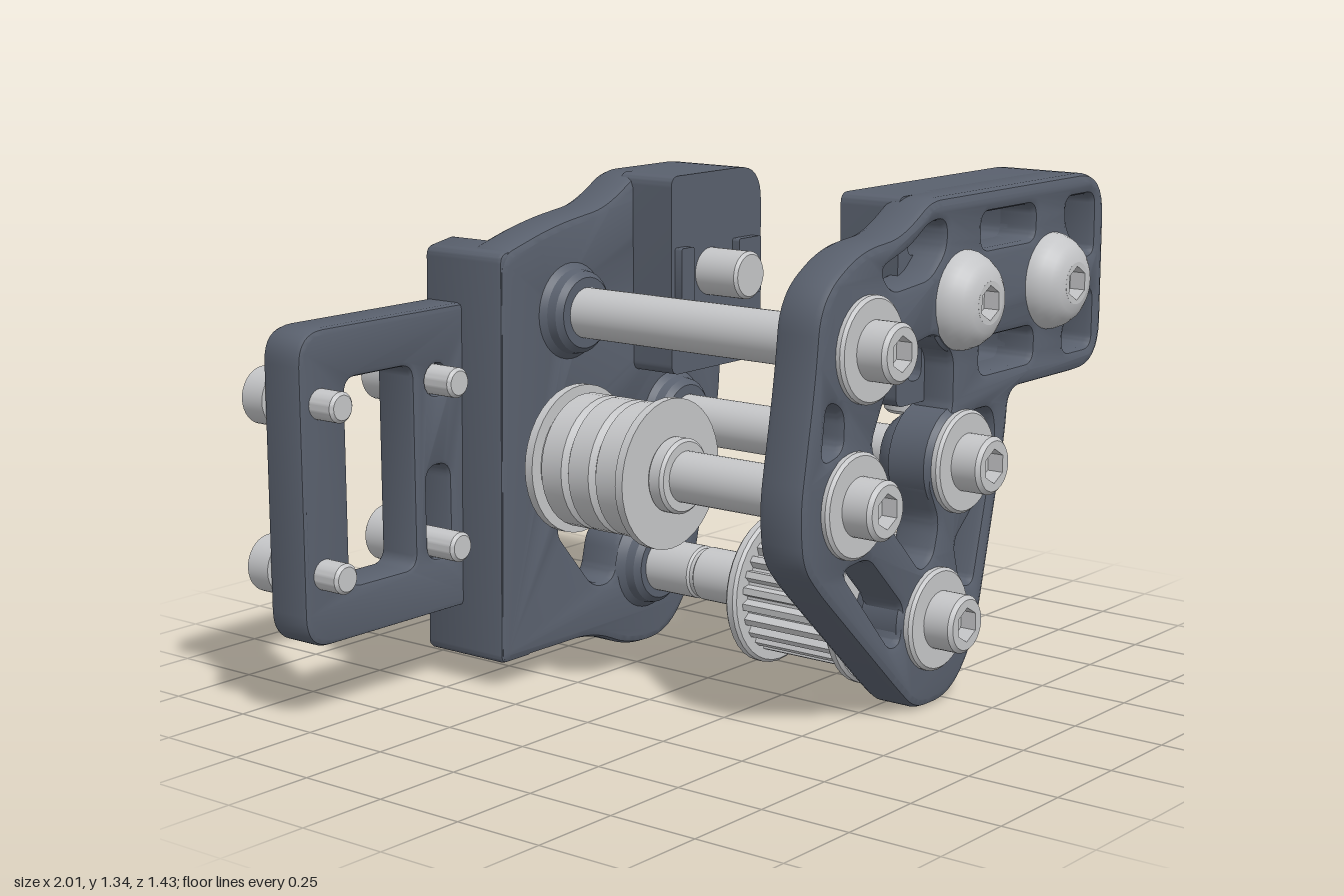
import * as THREE from 'three';
import { toCreasedNormals } from 'three/addons/utils/BufferGeometryUtils.js';

const dark = new THREE.MeshStandardMaterial({ color: 0x59606d });
dark.name = 'slate grey';
const metal = new THREE.MeshStandardMaterial({ color: 0xc4c5c7 });
metal.name = 'steel';

// Closed outline with rounded corners; each point is [x, y, cornerRadius]
function rounded(pts, r0, target = new THREE.Path()) {
  const n = pts.length;
  for (let i = 0; i < n; i++) {
    const p = new THREE.Vector2(pts[i][0], pts[i][1]);
    const a = new THREE.Vector2(...pts[(i + n - 1) % n].slice(0, 2)).sub(p);
    const b = new THREE.Vector2(...pts[(i + 1) % n].slice(0, 2)).sub(p);
    const r = Math.min(pts[i][2] ?? r0, a.length() * 0.49, b.length() * 0.49);
    const s = a.setLength(r).add(p), e = b.setLength(r).add(p);
    if (i === 0) target.moveTo(s.x, s.y); else target.lineTo(s.x, s.y);
    target.quadraticCurveTo(p.x, p.y, e.x, e.y);
  }
  target.closePath();
  return target;
}
const rect = (x0, x1, y0, y1) => [[x0, y0], [x1, y0], [x1, y1], [x0, y1]];
const circle = (x, y, r) => new THREE.Path().absarc(x, y, r, 0, Math.PI * 2, true);

// Plate between two z positions, with optional chamfered edges
function plate(name, shape, holes, z0, z1, bevel = 0.022) {
  shape.holes = holes;
  const geo = new THREE.ExtrudeGeometry(shape, {
    depth: z1 - z0 - 2 * bevel, bevelEnabled: bevel > 0, bevelThickness: bevel,
    bevelSize: bevel, bevelOffset: -bevel, bevelSegments: 2, curveSegments: 8,
  });
  geo.translate(0, 0, z0 + bevel);
  const mesh = new THREE.Mesh(toCreasedNormals(geo, 0.5), dark);
  mesh.name = name;
  return mesh;
}

// Turned part about the z axis; profile points are [radius, z], z rising
function turned(name, profile, x = 0, y = 0, mat = metal) {
  const geo = new THREE.LatheGeometry(profile.map(p => new THREE.Vector2(...p)), 36);
  geo.rotateX(Math.PI / 2);
  const mesh = new THREE.Mesh(toCreasedNormals(geo, 0.5), mat);
  mesh.position.set(x, y, 0);
  mesh.name = name;
  return mesh;
}
const rod = (name, r, z0, z1, x, y, mat = metal, c = 0.008) =>
  turned(name, [[0, z0], [r - c, z0], [r, z0 + c], [r, z1 - c], [r - c, z1], [0, z1]], x, y, mat);

// Screw with hex socket, head pointing to +z
function screw(name, R, h, shaftR, length, dome = false) {
  const g = new THREE.Group();
  g.name = name;
  const ri = 0.056, rim = dome
    ? [[R, 0], [R * 0.98, h * 0.2], [R * 0.9, h * 0.48], [R * 0.76, h * 0.76], [R * 0.6, h * 0.93], [ri, h]]
    : [[R, 0], [R, h - 0.01], [R - 0.01, h], [ri, h]];
  g.add(turned('screwHead', [[0, 0], ...rim, [ri, h - 0.045], [0, h - 0.045]]));
  const ring = new THREE.Shape().absarc(0, 0, ri + 0.001, 0, Math.PI * 2);
  const hex = new THREE.Path();
  for (let i = 0; i < 6; i++) {
    const a = i * Math.PI / 3 + Math.PI / 6;
    hex[i ? 'lineTo' : 'moveTo'](0.046 * Math.cos(a), 0.046 * Math.sin(a));
  }
  ring.holes = [hex.closePath()];
  const socket = new THREE.Mesh(
    new THREE.ExtrudeGeometry(ring, { depth: 0.045, bevelEnabled: false }).translate(0, 0, h - 0.045), metal);
  socket.name = 'hexSocket';
  g.add(socket, rod('screwShank', shaftR, -length, 0.005, 0, 0));
  return g;
}

export function createModel() {
  const model = new THREE.Group();
  model.name = 'beltTensioner';
  const place = (obj, x, y, z, rx = 0) => {
    obj.position.set(x, y, z);
    obj.rotation.x = rx;
    model.add(obj);
  };

  // Axle and screw centres
  const A = [-0.14, 0.99], B = [-0.195, 0.605], C = [0.29, 0.635], D = [0.175, 0.235];
  const E = [0.29, 1.06], F = [0.72, 1.06];
  const axles = [A, B, C, D];

  // Front truss plate
  const topEdge = [[0.14, 1.335, 0.05], [0.06, 1.285, 0.06], [-0.01, 1.255, 0.06]];
  const foot = [[0.52, 0.68, 0.1], [0.385, 0.13, 0.12], [0.27, 0, 0.12], [0.10, 0, 0.12]];
  const frontOutline = rounded([...topEdge, [-0.17, 1.24, 0.1], [-0.335, 1.14, 0.12], [-0.355, 0.95, 0.1],
    [-0.415, 0.62, 0.1], [-0.40, 0.48, 0.1], [-0.33, 0.40, 0.05], [0.02, 0.07, 0.06],
    ...foot.slice().reverse(), [0.53, 0.79, 0.09], [1, 0.79, 0.13], [1, 1.335, 0.13]], 0.05, new THREE.Shape());
  const boxWindows = [
    rect(0.38, 0.64, 1.18, 1.275), rect(0.38, 0.64, 0.85, 0.945),
    [[0.80, 1.275], [0.945, 1.275], [0.945, 1.11], [0.885, 1.11], [0.80, 1.2]],
    [[0.80, 0.85], [0.945, 0.85], [0.945, 1.01], [0.885, 1.01], [0.80, 0.92]],
  ];
  const trussHoles = [
    [[-0.06, 0.84], [0.02, 0.96], [0.17, 0.985], [0.25, 0.92], [0.25, 0.77], [0.17, 0.70], [0.14, 0.60],
      [0.195, 0.49], [0.17, 0.40], [0.12, 0.375], [-0.03, 0.53], [-0.04, 0.64], [-0.11, 0.74]],
    [[-0.23, 0.44], [-0.12, 0.45], [0.04, 0.29], [0.02, 0.2], [-0.02, 0.2]],
    [[0.34, 0.755], [0.44, 0.755], [0.46, 0.68], [0.36, 0.29], [0.31, 0.30], [0.275, 0.42], [0.37, 0.5],
      [0.42, 0.62], [0.39, 0.71]],
    [[-0.03, 1.12], [0.14, 1.135], [0.21, 1.2], [0.21, 1.275], [0.14, 1.275], [0.05, 1.22], [-0.08, 1.18]],
    [[-0.30, 0.88], [-0.235, 0.85], [-0.235, 0.75], [-0.32, 0.73]],
  ];
  const cut = list => list.map(p => rounded(p, 0.035));
  model.add(plate('frontPlate', frontOutline, cut([...trussHoles, ...boxWindows]), 0.475, 0.612));
  model.add(plate('frontBlock', rounded([[0.12, 0.79, 0.03], [1, 0.79, 0.13], [1, 1.335, 0.13], [0.12, 1.335, 0.03]], 0.1, new THREE.Shape()),
    cut([...boxWindows, rect(0.17, 0.235, 0.85, 0.95), rect(0.165, 0.21, 1.18, 1.275)]), 0.34, 0.52, 0));

  // Back plate with pulley opening, screw recess and axle holes
  const backOutline = () => rounded([...topEdge, [-0.2, 1.23, 0.1], [-0.41, 1.17, 0.05], [-0.43, 0.07, 0.03],
    [-0.05, 0.07, 0.1], ...foot.slice().reverse(), [0.52, 1.335, 0.1]], 0.05, new THREE.Shape());
  const opening = rounded([[0.0, 0.69], [0.17, 0.69], [0.18, 0.55], [0.25, 0.49], [0.39, 0.49], [0.39, 0.36],
    [0.27, 0.34], [0.19, 0.385], [0.06, 0.34], [0.03, 0.21], [-0.05, 0.21], [-0.21, 0.40], [-0.08, 0.47], [-0.02, 0.58]], 0.05);
  model.add(plate('backPlate', backOutline(),
    [opening, circle(...E, 0.125), ...axles.map(p => circle(...p, 0.035))], -0.492, -0.355));
  model.add(plate('backBlock', rounded([[0.12, 0.79, 0.03], [0.52, 0.79, 0.03], [0.52, 1.335, 0.1], [0.12, 1.335, 0.03]], 0.05, new THREE.Shape()),
    [], -0.40, -0.22, 0));

  // Mounting bracket on the back
  const slot = x => rounded(rect(x - 0.043, x + 0.043, 0.36, 0.61), 0.042);
  const bolts = [-0.93, -0.51];
  model.add(plate('bracketArm', rounded([[-1, 0.21, 0.09], [-0.36, 0.21, 0.01], [-0.36, 1.03, 0.01], [-1, 1.03, 0.09]], 0.05, new THREE.Shape()),
    [rounded(rect(-0.84, -0.6, 0.35, 0.89), 0.04), ...bolts.map(slot), ...bolts.map(x => circle(x, 0.84, 0.041))],
    -0.632, -0.5, 0.015));
  model.add(plate('bracketSpine', rounded([[-0.43, 0.07], [-0.3, 0.07], [-0.3, 1.19], [-0.41, 1.17]], 0.025, new THREE.Shape()),
    [], -0.632, -0.36, 0.012));
  for (const x of bolts) for (const y of [0.84, 0.4]) {
    place(screw('bracketScrew', 0.075, 0.083, 0.04, 0.212), x, y, -0.632, Math.PI);
  }

  // Bosses, axles, washers and front screws
  for (const p of axles) {
    model.add(turned('frontBoss', [[0, 0.42], [0.095, 0.42], [0.11, 0.44], [0.115, 0.465], [0.15, 0.485],
      [0.15, 0.595], [0.135, 0.612], [0, 0.612]], ...p, dark));
    model.add(turned('backBoss', [[0, -0.36], [0.135, -0.36], [0.115, -0.34], [0.11, -0.315], [0.095, -0.3], [0, -0.3]],
      ...p, dark));
    model.add(rod('axle', 0.068, -0.35, 0.45, ...p));
    model.add(rod('washer', 0.137, 0.6, 0.632, ...p));
    place(screw('axleScrew', 0.077, 0.083, 0.04, 0.1), ...p, 0.632);
  }

  // Block bosses with button-head clamp screws and rib pads
  for (const p of [E, F]) {
    model.add(rod('clampBoss', 0.14, 0.342, 0.605, ...p, dark));
    place(screw('clampScrew', 0.132, 0.085, 0.066, 0.378, true), ...p, 0.608);
  }
  place(screw('rearClampScrew', 0.115, 0.07, 0.066, 0.32, true), ...E, -0.4, Math.PI);
  const pad = (x0, x1, z0, z1) => model.add(plate('clampPad',
    rounded(rect(x0, x1, 0.98, 1.14), 0.008, new THREE.Shape()), [], z0, z1, 0));
  for (const [x0, x1] of [[0.122, 0.175], [0.39, 0.61], [0.82, 0.97]]) pad(x0, x1, 0.31, 0.35);
  for (const [x0, x1] of [[0.135, 0.19], [0.39, 0.49]]) pad(x0, x1, -0.23, -0.196);

  // Smooth idler on the left axle: three grooved rings between flanges
  const idler = [[0, -0.30], [0.2, -0.30], [0.2, -0.275], [0.165, -0.275]];
  for (let i = 0; i < 3; i++) {
    const z = -0.272 + i * 0.093;
    idler.push([0.165, z], [0.18, z + 0.012], [0.18, z + 0.08], [0.165, z + 0.092]);
  }
  model.add(turned('idlerPulley', [...idler, [0.165, 0.008], [0.2, 0.008], [0.2, 0.032], [0, 0.032]], ...B));
  model.add(rod('idlerCollar', 0.1, 0.03, 0.08, ...B));

  // Toothed pulley on the lower axle
  const gear = new THREE.Shape(), teeth = 24;
  for (let i = 0; i < teeth; i++) {
    [[0, 0.15], [0.2, 0.172], [0.6, 0.172], [0.8, 0.15]].forEach(([t, r], k) => {
      const a = (i + t) / teeth * Math.PI * 2;
      gear[i + k ? 'lineTo' : 'moveTo'](r * Math.cos(a), r * Math.sin(a));
    });
  }
  const toothed = new THREE.Mesh(new THREE.ExtrudeGeometry(gear.closePath(), { depth: 0.31, bevelEnabled: false }), metal);
  toothed.name = 'toothedPulley';
  place(toothed, ...D, 0.1);
  model.add(rod('pulleyFlange', 0.206, 0.08, 0.115, ...D), rod('pulleyFlange', 0.206, 0.405, 0.438, ...D));
  model.add(rod('pulleyCollar', 0.108, 0.022, 0.075, ...D, metal, 0.015));
  for (const [z0, z1] of [[-0.31, -0.148], [-0.14, 0.022]]) model.add(rod('spacerSleeve', 0.074, z0, z1, ...D));

  // Upright adjusting screw, head down
  place(screw('adjustingScrew', 0.075, 0.08, 0.041, 0.22), 0.87, 0.69, 0.06, Math.PI / 2);
  return model;
}
